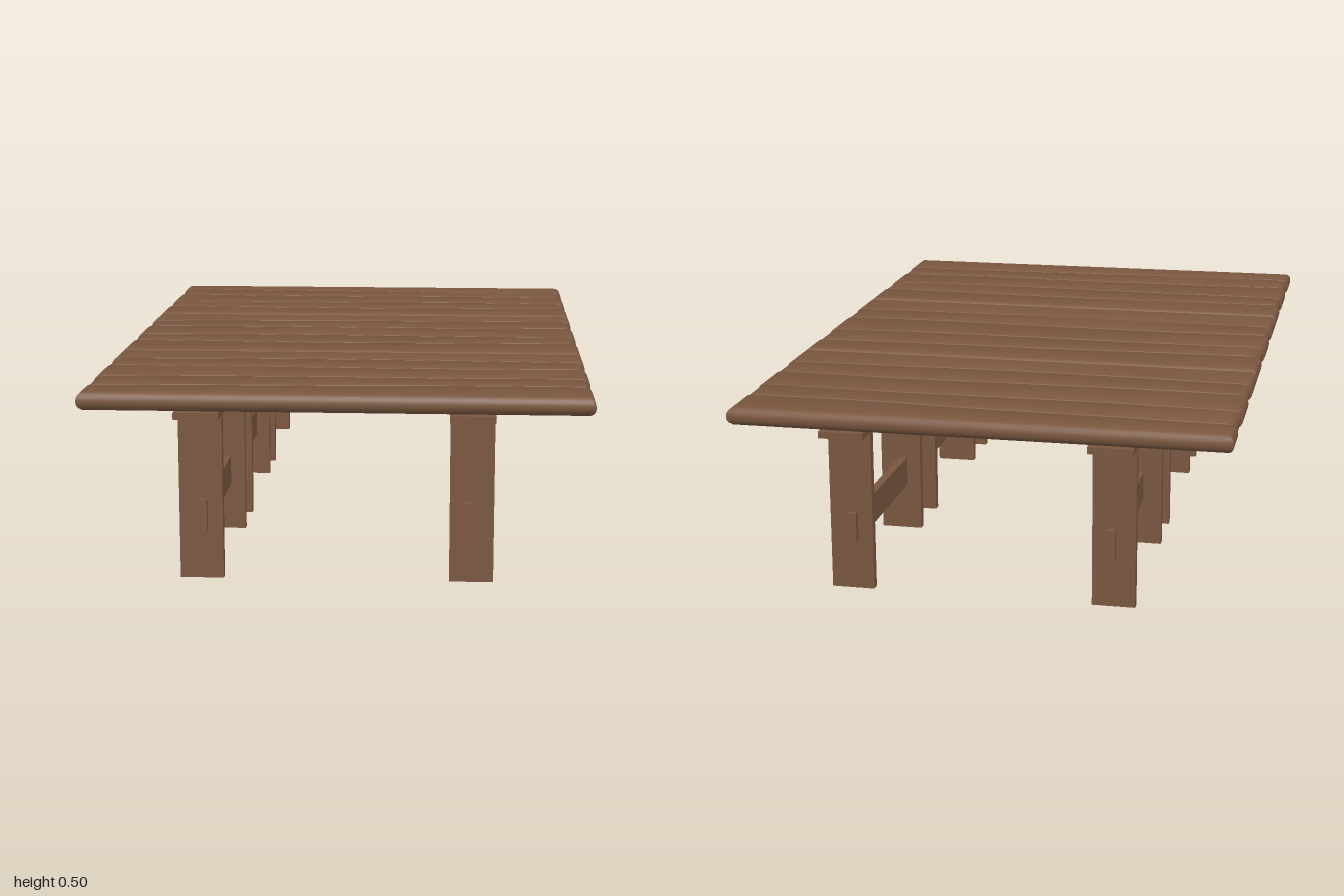
import * as THREE from 'three';
import { toCreasedNormals } from 'three/addons/utils/BufferGeometryUtils.js';

const wood = new THREE.MeshStandardMaterial({ color: 0x7a5740 });
const HALF = 0.025, TOP_Y = 0.48; // half thickness and mid height of the top

function box(name, w, h, d, x, y, z) {
  const mesh = new THREE.Mesh(new THREE.BoxGeometry(w, h, d), wood);
  mesh.position.set(x, y, z);
  mesh.name = name;
  return mesh;
}

// Height lost near an edge that is rounded with radius r
function drop(dist, r) {
  if (dist >= r) return 0;
  return r * (1 - Math.sqrt(1 - (1 - dist / r) ** 2));
}

// Wavy seam: five z values evenly spaced along x, joined by straight runs
function seamAt(seam, x) {
  const t = THREE.MathUtils.clamp((x / 0.66 + 1) * 2, 0, 4);
  const i = Math.min(3, Math.floor(t));
  return THREE.MathUtils.lerp(seam[i], seam[i + 1], t - i);
}

// Stations along a unit width, bunched at both ends over the rounded part
function stations(length, r0, r1) {
  const ease = [0, 0.08, 0.28, 0.6, 1];
  return [...ease.map(e => e * r0), ...ease.map(e => length - e * r1).reverse()];
}

// One plank between two seams; outer edges of a section get the full round
function plank(back, front, rBack, rFront, halfLength) {
  const ends = stations(2 * halfLength, 0.022, 0.022).map(v => v - halfLength);
  const xs = [...ends, -0.33, 0, 0.33].sort((a, b) => a - b);
  const NX = xs.length - 1, NZ = 9;
  const geo = new THREE.BoxGeometry(NX, 2, NZ, NX, 1, NZ);
  const pos = geo.attributes.position;
  for (let i = 0; i < pos.count; i++) {
    const x = xs[Math.round(pos.getX(i) + NX / 2)];
    const z0 = seamAt(back, x) + 0.003, z1 = seamAt(front, x) - 0.003;
    const across = stations(z1 - z0, rBack, rFront)[Math.round(pos.getZ(i) + NZ / 2)];
    const lost = Math.max(
      drop(across, rBack), drop(z1 - z0 - across, rFront),
      drop(halfLength - Math.abs(x), 0.022));
    pos.setXYZ(i, x, TOP_Y + Math.sign(pos.getY(i)) * (HALF - lost), z0 + across);
  }
  return new THREE.Mesh(toCreasedNormals(geo, 0.7), wood);
}

const flat = z => [z, z, z, z, z];

// Seams from back to front, five planks per section
const sections = [
  [flat(-0.998),
    [-0.89, -0.88, -0.873, -0.856, -0.855],
    [-0.765, -0.752, -0.753, -0.758, -0.747],
    [-0.607, -0.605, -0.611, -0.62, -0.607],
    [-0.5, -0.487, -0.481, -0.49, -0.5],
    flat(-0.347)],
  [flat(-0.347),
    [-0.19, -0.2, -0.215, -0.22, -0.23],
    [-0.083, -0.09, -0.087, -0.085, -0.098],
    [0.071, 0.058, 0.061, 0.07, 0.065],
    [0.18, 0.186, 0.196, 0.188, 0.18],
    flat(0.338)],
  [flat(0.338),
    [0.488, 0.476, 0.47, 0.478, 0.49],
    [0.59, 0.594, 0.6, 0.605, 0.595],
    [0.75, 0.738, 0.735, 0.74, 0.731],
    [0.875, 0.866, 0.858, 0.842, 0.84],
    flat(0.993)],
];

// Leg positions along z, in pairs joined by a stretcher
const legPairs = [[0.915, 0.424], [0.247, -0.245], [-0.418, -0.909]];

export function createModel() {
  const table = new THREE.Group();
  table.name = 'plankTable';

  // Table top
  sections.forEach((seams, s) => {
    const section = new THREE.Group();
    section.name = `topSection${s + 1}`;
    for (let i = 0; i < 5; i++) {
      const mesh = plank(seams[i], seams[i + 1],
        i === 0 ? 0.022 : 0.004, i === 4 ? 0.022 : 0.004,
        i % 2 ? 0.658 : 0.663);
      mesh.name = `plank${i + 1}`;
      section.add(mesh);
    }
    table.add(section);
  });

  // Supports under each side
  for (const side of [1, -1]) {
    const frame = new THREE.Group();
    frame.name = side > 0 ? 'leftFrame' : 'rightFrame';
    frame.add(box('topRail', 0.118, 0.018, 2, side * 0.353, 0.447, 0));
    for (const [a, b] of legPairs) {
      for (const z of [a, b]) {
        frame.add(box('leg', 0.115, 0.44, 0.024, side * 0.353, 0.22, z));
      }
      // Stretcher with tenons passing through both legs
      frame.add(box('stretcher', 0.023, 0.083, a - b + 0.06, side * 0.347, 0.173, (a + b) / 2));
    }
    table.add(frame);
  }
  return table;
}
